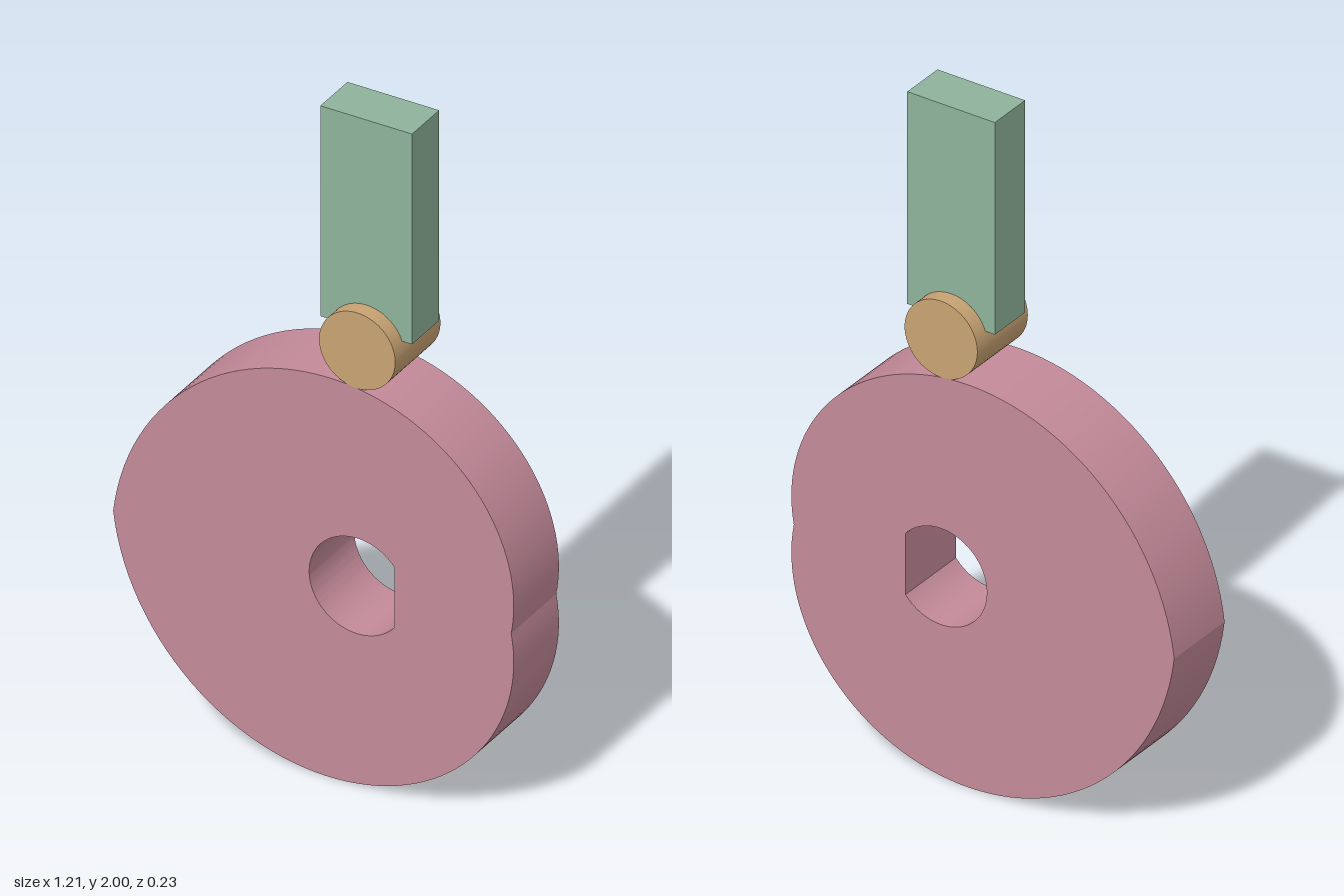
import * as THREE from 'three';
import { toCreasedNormals } from 'three/addons/utils/BufferGeometryUtils.js';

const AXIS_X = 0.132, AXIS_Y = 0.606;
const THICKNESS = 0.23;

function part(name, geometry, color, x, y) {
  const mesh = new THREE.Mesh(geometry, new THREE.MeshStandardMaterial({ color }));
  mesh.name = name;
  mesh.position.set(x, y, 0);
  return mesh;
}

// Heart-shaped cam: radius grows evenly with angle from the notch to the tip
function camGeometry() {
  const rMin = 0.465, rMax = 0.737, steps = 120;
  const outline = [];
  for (let i = 0; i < steps; i++) {
    const a = -Math.PI + (i / steps) * Math.PI * 2;
    const r = rMin + (rMax - rMin) * Math.abs(a) / Math.PI;
    outline.push(new THREE.Vector2(r * Math.cos(a), r * Math.sin(a)));
  }
  const shape = new THREE.Shape(outline);

  // D-shaped shaft hole with its flat towards +x
  const holeR = 0.145, flat = Math.acos(0.112 / holeR);
  const hole = new THREE.Path();
  hole.absarc(0, 0, holeR, flat, Math.PI * 2 - flat, false);
  hole.closePath();
  shape.holes.push(hole);

  const geometry = new THREE.ExtrudeGeometry(shape, {
    depth: THICKNESS, bevelEnabled: false, curveSegments: 48,
  });
  geometry.translate(0, 0, -THICKNESS / 2);
  return toCreasedNormals(geometry, 0.2);
}

export function createModel() {
  const model = new THREE.Group();
  model.name = 'camAndFollower';

  model.add(part('cam', camGeometry(), 0xc48a9a, AXIS_X, AXIS_Y));

  // Roller riding on the cam
  const roller = new THREE.CylinderGeometry(0.115, 0.115, THICKNESS, 64);
  roller.rotateX(Math.PI / 2);
  model.add(part('roller', roller, 0xc8a373, AXIS_X, 1.322));

  // Follower bar above the roller
  model.add(part('followerBar', new THREE.BoxGeometry(0.277, 0.64, 0.138), 0x8fb39b, AXIS_X, 1.68));

  return model;
}
